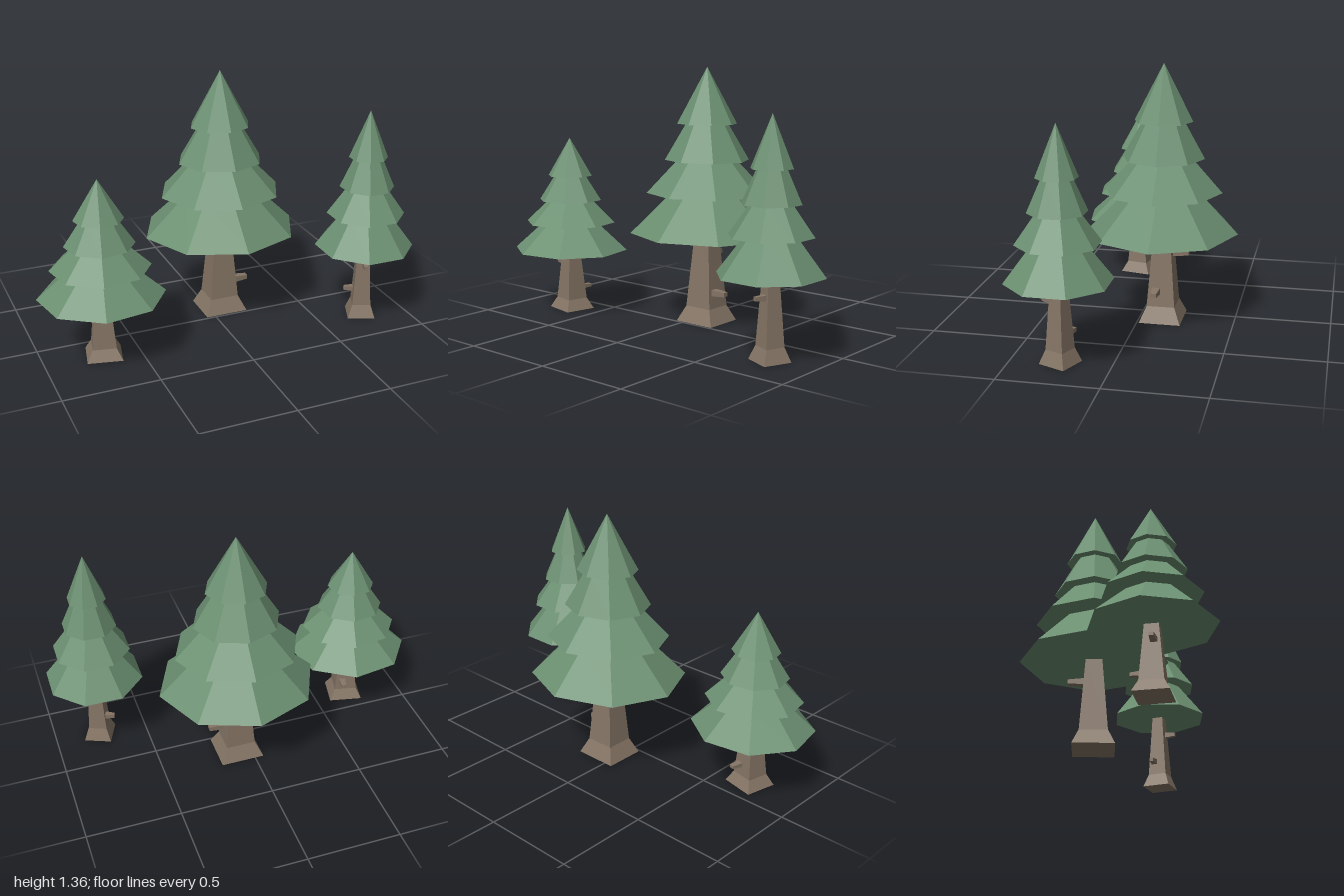
import * as THREE from 'three';

const foliageGreen = new THREE.MeshStandardMaterial({ color: 0x6b8f71, flatShading: true });
foliageGreen.name = 'foliageGreen';
const barkBrown = new THREE.MeshStandardMaterial({ color: 0x857565, flatShading: true });
barkBrown.name = 'barkBrown';

// Faceted solid of revolution from [radius, height] pairs, bottom to top
function turned(name, profile, sides, startAngle, material) {
  const points = profile.map(([r, y]) => new THREE.Vector2(r, y));
  const mesh = new THREE.Mesh(new THREE.LatheGeometry(points, sides, startAngle), material);
  mesh.name = name;
  return mesh;
}

// Tapered four-sided branch stub that grows along +y before being turned
function stub(name, length) {
  const geometry = new THREE.CylinderGeometry(0.016, 0.025, length, 4);
  geometry.rotateY(Math.PI / 4);
  geometry.scale(1.35, 1, 1);
  const mesh = new THREE.Mesh(geometry, barkBrown);
  mesh.name = name;
  return mesh;
}

function makeTree(name) {
  const tree = new THREE.Group();
  tree.name = name;

  // Four stacked skirts of needles with flat undersides
  const foliage = turned('foliage', [
    [0, 0.48], [0.42, 0.48], [0.195, 0.695],
    [0.33, 0.695], [0.16, 0.87],
    [0.23, 0.87], [0.115, 1.06],
    [0.163, 1.06], [0, 1.355],
  ], 8, 0, foliageGreen);
  foliage.scale.z = 0.93;

  // Square trunk with a flared foot
  const d = Math.SQRT2;
  const trunk = turned('trunk', [
    [0, 0], [0.117 * d, 0], [0.079 * d, 0.083], [0.046 * d, 0.49], [0, 0.49],
  ], 4, Math.PI / 4, barkBrown);
  trunk.scale.z = 0.93;

  // Broken branches on two sides of the trunk
  const lowerStub = stub('lowerStub', 0.1);
  lowerStub.rotation.set(Math.PI / 2, 0, -Math.PI / 2, 'ZXY');
  lowerStub.rotation.set(0, Math.PI / 2, -Math.PI / 2, 'ZYX');
  lowerStub.position.set(0.1, 0.168, 0.025);
  const upperStub = stub('upperStub', 0.1);
  upperStub.rotation.x = -Math.PI / 2;
  upperStub.position.set(-0.015, 0.36, -0.085);

  tree.add(foliage, trunk, lowerStub, upperStub);
  return tree;
}

export function createModel() {
  const model = new THREE.Group();
  model.name = 'pineTrees';

  // name, x, z, turn, scale
  const trees = [
    ['tallTree', 0.07, -0.12, 0, [1, 1, 1]],
    ['shortTree', -0.685, 0.152, Math.PI / 2 - 0.214, [0.735, 0.708, 0.835]],
    ['slimTree', 0.755, 0.253, Math.PI - 0.4, [0.625, 0.86, 0.68]],
  ];
  for (const [name, x, z, turn, scale] of trees) {
    const tree = makeTree(name);
    tree.position.set(x, 0, z);
    tree.rotation.y = turn;
    tree.scale.set(...scale);
    model.add(tree);
  }
  return model;
}
